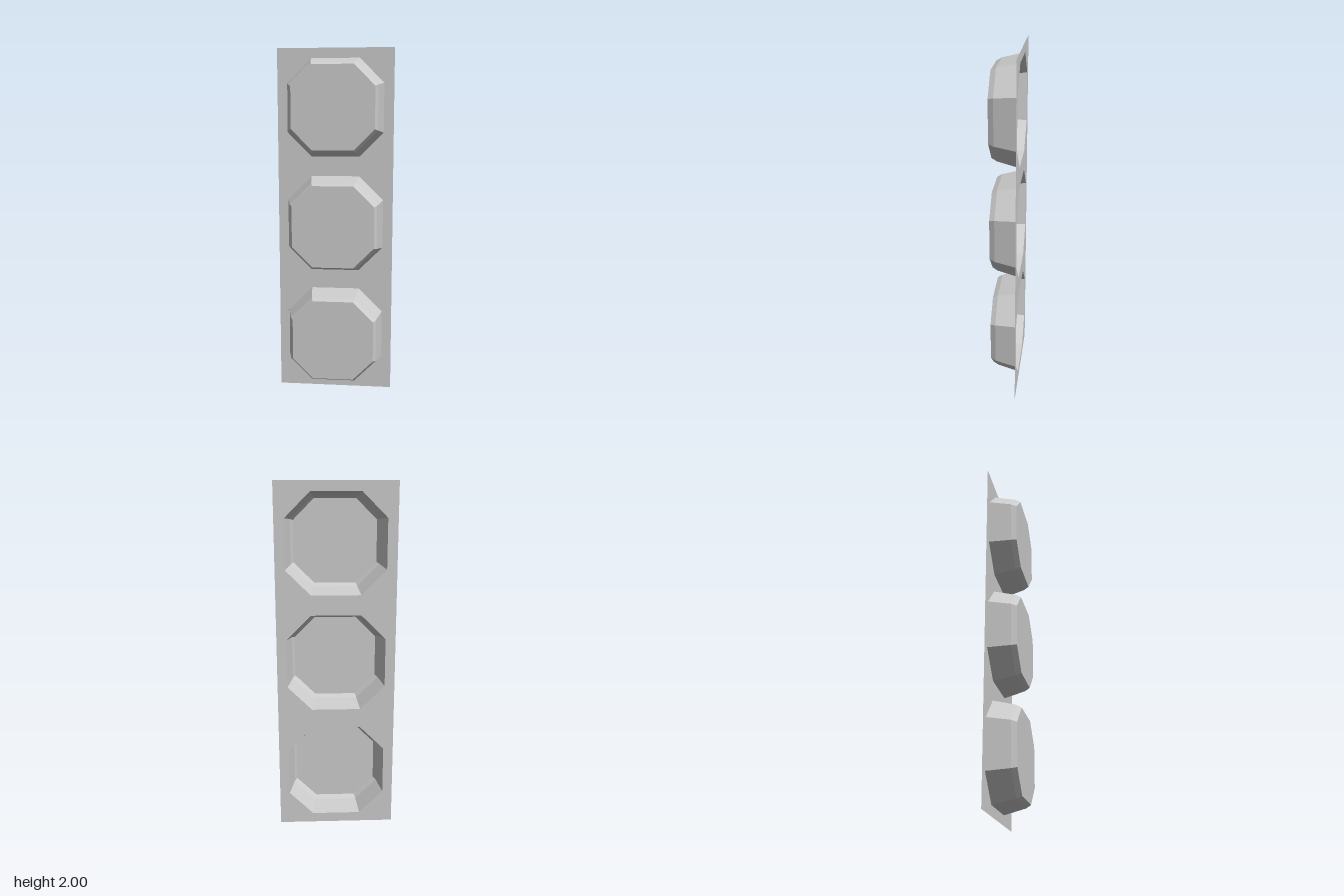
import * as THREE from 'three';

const BACK = -0.0765;
// Cup cross-sections from the rim at the plate to the closed front: [half width, z]
const RINGS = [[0.277, BACK], [0.249, 0.047], [0.2335, 0.0765]];
const CENTRES = [1 / 3, 1, 5 / 3];

const material = new THREE.MeshStandardMaterial({
  color: 0xcccccc, flatShading: true, side: THREE.DoubleSide,
});

// Octagon with corner points halfway along each side, counter-clockwise
function octagon(r, cy = 0) {
  const c = r / 2;
  return [[r, -c], [r, c], [c, r], [-c, r], [-r, c], [-r, -c], [-c, -r], [c, -r]]
    .map(([x, y]) => new THREE.Vector2(x, y + cy));
}

// Thin sheet with an opening behind each cup
function plateGeometry() {
  const w = 1 / 3;
  const shape = new THREE.Shape([[-w, 0], [w, 0], [w, 2], [-w, 2]]
    .map(([x, y]) => new THREE.Vector2(x, y)));
  for (const cy of CENTRES) {
    shape.holes.push(new THREE.Path(octagon(RINGS[0][0], cy).reverse()));
  }
  return new THREE.ShapeGeometry(shape).translate(0, 0, BACK);
}

// Sloping side walls joining the cross-sections
function wallGeometry() {
  const pos = [];
  const index = [];
  for (const [r, z] of RINGS) {
    for (const p of octagon(r)) pos.push(p.x, p.y, z);
  }
  for (let k = 0; k < RINGS.length - 1; k++) {
    for (let i = 0; i < 8; i++) {
      const a = k * 8 + i;
      const b = k * 8 + (i + 1) % 8;
      index.push(a, b, b + 8, a, b + 8, a + 8);
    }
  }
  const g = new THREE.BufferGeometry();
  g.setAttribute('position', new THREE.Float32BufferAttribute(pos, 3));
  g.setIndex(index);
  const flat = g.toNonIndexed();
  flat.computeVertexNormals();
  return flat;
}

function named(geometry, name) {
  const mesh = new THREE.Mesh(geometry, material);
  mesh.name = name;
  return mesh;
}

export function createModel() {
  const model = new THREE.Group();
  model.name = 'blisterTray';
  model.add(named(plateGeometry(), 'backPlate'));

  const walls = wallGeometry();
  const [faceRadius, faceZ] = RINGS[RINGS.length - 1];
  const face = new THREE.ShapeGeometry(new THREE.Shape(octagon(faceRadius)))
    .translate(0, 0, faceZ);

  // Three identical cups, open at the back
  CENTRES.forEach((cy, i) => {
    const cup = new THREE.Group();
    cup.name = ['lowerCup', 'middleCup', 'upperCup'][i];
    cup.add(named(walls, 'cupWalls'), named(face, 'cupFace'));
    cup.position.y = cy;
    model.add(cup);
  });
  return model;
}
